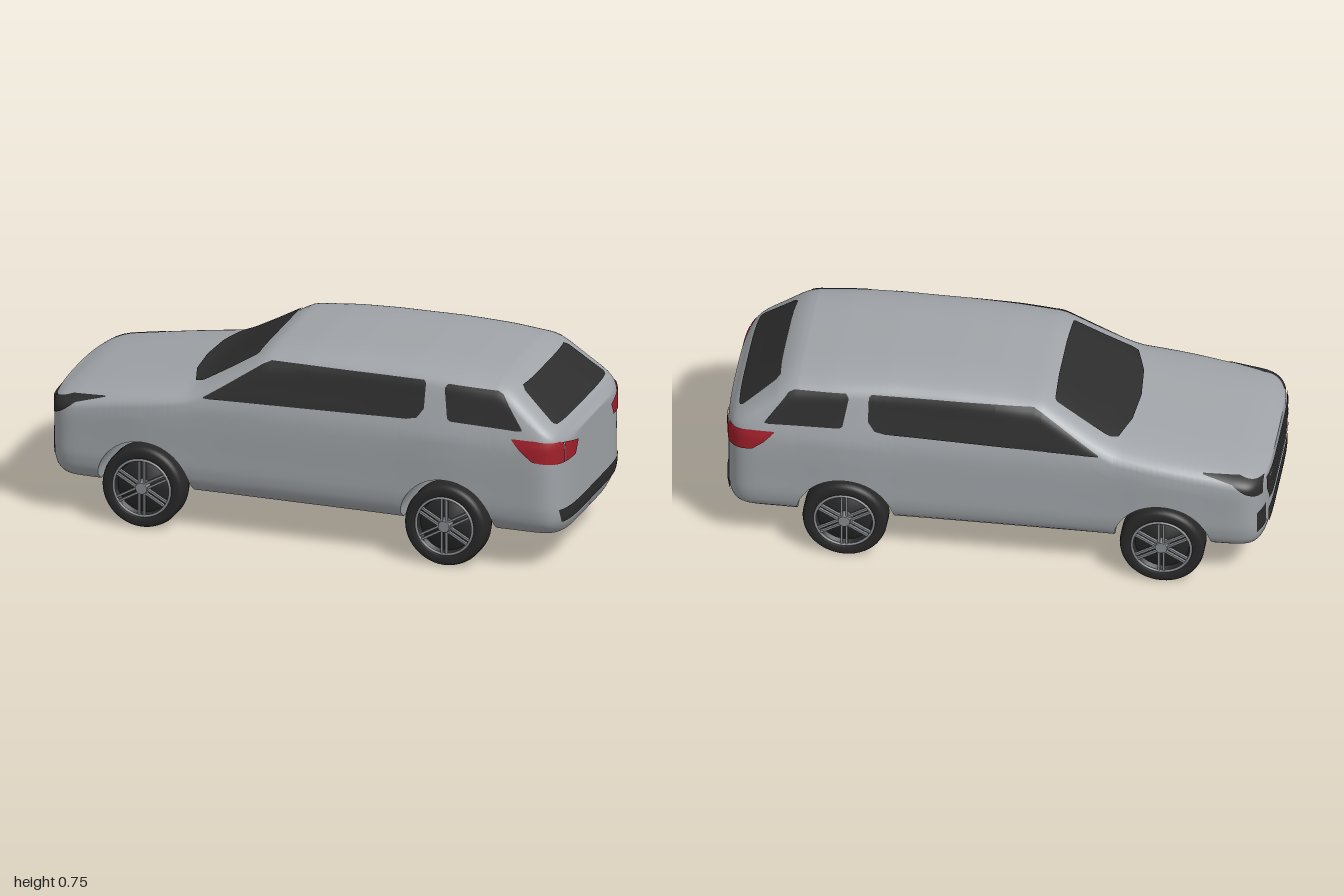
import * as THREE from 'three';

const mat = (name, color, side = THREE.FrontSide) => {
  const m = new THREE.MeshStandardMaterial({ color, side });
  m.name = name;
  return m;
};

// piecewise linear lookup, and a softened version of it
function lerpTable(t, x) {
  if (x <= t[0][0]) return t[0][1];
  for (let i = 1; i < t.length; i++) {
    const [x0, y0] = t[i - 1], [x1, y1] = t[i];
    if (x <= x1) return y0 + (y1 - y0) * (x - x0) / (x1 - x0);
  }
  return t[t.length - 1][1];
}
const soft = (t, x, r) => [-1, -0.5, 0, 0.5, 1].reduce((s, k) => s + lerpTable(t, x + k * r), 0) / 5;

// centre-line height along the car, and relative width by height
const ROOF = [[-1, 0.45], [-0.95, 0.475], [-0.9, 0.49], [-0.8, 0.508], [-0.6, 0.54], [-0.45, 0.565], [-0.4, 0.585],
  [-0.3, 0.643], [-0.17, 0.72], [-0.1, 0.727], [0, 0.738], [0.15, 0.745], [0.4, 0.747], [0.6, 0.738], [0.75, 0.724],
  [0.79, 0.705], [0.9, 0.615], [0.95, 0.575], [0.98, 0.55], [1, 0.51]];
const FLANK = [[0.13, 0.74], [0.15, 0.82], [0.165, 0.885], [0.18, 0.925], [0.2, 0.957], [0.25, 0.985], [0.32, 0.99],
  [0.42, 1], [0.5, 1], [0.55, 0.968], [0.6, 0.93], [0.65, 0.893], [0.7, 0.862], [0.75, 0.84]];
const FLOOR = 0.148, ARCH_R = 0.18, AXLE_Y = 0.157, AXLES = [-0.62, 0.55];

const endU = x => Math.min(1, Math.max(0, (Math.abs(x) - 0.8) / 0.2));
const roofY = x => soft(ROOF, x, 0.018);
const capHeight = x => 0.1 - 0.045 * endU(x) ** 2;
const planWidth = x => {
  const flare = AXLES.reduce((s, c) => s + Math.exp(-(((x - c) / 0.16) ** 2)), 0);
  return (0.372 + 0.007 * flare) * (1 - endU(x) ** 5) ** 0.2;
};
function halfWidth(x, y) {
  const top = roofY(x), cap = capHeight(x);
  const q = Math.min(1, Math.max(0, (y - top + cap) / cap));
  return planWidth(x) * soft(FLANK, y, 0.01) * (1 - q ** 4) ** 0.25;
}
// underside with wheel arches cut right across
function floorY(x) {
  for (const c of AXLES) {
    const d = Math.abs(x - c);
    if (d <= ARCH_R + 1e-6) return AXLE_Y + Math.sqrt(Math.max(0, ARCH_R ** 2 - d * d));
  }
  return FLOOR;
}
// tuck the lower bumpers inwards
function tuck([x, y, z]) {
  const low = Math.max(0, (0.24 - y) / 0.09);
  return [x - Math.sign(x) * 0.025 * endU(x) ** 2 * low * low, y, z];
}

// smooth surface over a grid of points
function gridGeometry(ni, nj, f) {
  const pos = [], idx = [];
  for (let i = 0; i < ni; i++) for (let j = 0; j < nj; j++) {
    pos.push(...tuck(f(i, j)));
    if (i < ni - 1 && j < nj - 1) {
      const a = i * nj + j, b = a + nj;
      idx.push(a, b, a + 1, b, b + 1, a + 1);
    }
  }
  const g = new THREE.BufferGeometry();
  g.setAttribute('position', new THREE.Float32BufferAttribute(pos, 3));
  g.setIndex(idx);
  g.computeVertexNormals();
  return g;
}

// find the body surface between an inside and an outside value
function surface(inside, a, b) {
  for (let k = 0; k < 30; k++) {
    const m = (a + b) / 2;
    if (inside(m)) a = m; else b = m;
  }
  return a;
}
const PROJECT = {
  left: (x, y, e) => [x, y, halfWidth(x, y) + e],
  right: (x, y, e) => [x, y, -halfWidth(x, y) - e],
  top: (z, x, e) => [x, surface(y => Math.abs(z) < halfWidth(x, y), 0.4, 0.8) + e, z],
  rear: (z, y, e) => [surface(x => Math.abs(z) < halfWidth(x, y), 0.5, 1) + e, y, z],
  front: (z, y, e) => [surface(x => Math.abs(z) < halfWidth(x, y), -0.5, -1) - e, y, z],
};

export function createModel() {
  const car = new THREE.Group();
  car.name = 'car';
  const paint = mat('silver paint', 0xa0a4a8);
  const glass = mat('dark glass', 0x2d2d2d, THREE.DoubleSide);
  const red = mat('tail light red', 0xa01f2a, THREE.DoubleSide);
  const rubber = mat('tyre rubber', 0x272727, THREE.DoubleSide);
  const alloy = mat('alloy grey', 0x85888c, THREE.DoubleSide);

  const add = (parent, name, geo, material) => {
    const m = new THREE.Mesh(geo, material);
    m.name = name;
    parent.add(m);
    return m;
  };

  // body stations: even spacing, dense round the arches and ends
  let xs = [];
  for (let i = -32; i <= 32; i++) xs.push(i / 40);
  for (let i = 1; i <= 24; i++) {
    const x = 0.8 + 0.2 * Math.sin(i / 24 * Math.PI / 2) ** 0.4;
    xs.push(x, -x);
  }
  for (let i = 1; i < 8; i++) xs.push(0.8 + i * 0.012, -0.8 - i * 0.012);
  for (const c of AXLES) {
    for (let i = 0; i <= 28; i++) xs.push(c + ARCH_R * Math.cos(i / 28 * Math.PI));
    xs.push(c - ARCH_R - 2e-4, c + ARCH_R + 2e-4);
  }
  xs = xs.sort((a, b) => a - b).filter((x, i) => i === 0 || x - xs[i - 1] > 1e-6);

  // half section runs from sill to centre line, then is mirrored
  const SIDE = 18, CAP = 12, HALF = SIDE + CAP;
  const skinPoint = (i, j) => {
    const x = xs[i], k = Math.min(j, 2 * HALF - j), s = j <= HALF ? 1 : -1;
    const top = roofY(x), y0 = top - capHeight(x), yb = floorY(x);
    if (k <= SIDE) {
      const y = yb + (y0 - yb) * (k / SIDE) ** 1.5;
      return [x, y, s * halfWidth(x, y)];
    }
    const q = (k - SIDE) / CAP * Math.PI / 2;
    const y = y0 + capHeight(x) * Math.sqrt(Math.sin(q));
    const w = planWidth(x) * soft(FLANK, y, 0.01) * Math.sqrt(Math.max(0, Math.cos(q)));
    return [x, y, k === HALF ? 0 : s * w];
  };
  add(car, 'bodyShell', gridGeometry(xs.length, 2 * HALF + 1, skinPoint), paint);
  add(car, 'underside', gridGeometry(xs.length, 2, (i, j) => {
    const y = floorY(xs[i]);
    return [xs[i], y, (j ? 1 : -1) * halfWidth(xs[i], y)];
  }), paint);

  // thin panel lying on the body, between a lower and an upper outline
  function panel(name, where, lo, hi, material, e = 0.005) {
    const a0 = lo[0][0], a1 = lo[lo.length - 1][0];
    const as = [...lo, ...hi].map(p => p[0]);
    for (let i = 0; i <= 40; i++) as.push(a0 + (a1 - a0) * i / 40);
    as.sort((p, q) => p - q);
    const st = as.filter((a, i) => i === 0 || a - as[i - 1] > 1e-6);
    add(car, name, gridGeometry(st.length, 13, (i, j) => {
      const l = lerpTable(lo, st[i]), h = lerpTable(hi, st[i]);
      return PROJECT[where](st[i], l + (h - l) * j / 12, e);
    }), material);
  }
  const mirrored = half => [...half.map(([z, v]) => [-z, v]), ...half.slice().reverse()];
  const flip = t => t.map(([z, v]) => [-z, v]).reverse();

  for (const side of ['left', 'right']) {
    panel(side + 'DoorWindow', side,
      [[-0.385, 0.535], [0.2, 0.55], [0.4, 0.556], [0.44, 0.565], [0.465, 0.6]],
      [[-0.385, 0.54], [-0.31, 0.588], [-0.17, 0.681], [-0.14, 0.694], [0, 0.698], [0.455, 0.7], [0.465, 0.69]], glass);
    panel(side + 'QuarterWindow', side,
      [[0.54, 0.675], [0.558, 0.575], [0.57, 0.567], [0.83, 0.559], [0.845, 0.562]],
      [[0.54, 0.685], [0.55, 0.697], [0.74, 0.69], [0.762, 0.68], [0.845, 0.567]], glass);
    panel(side + 'HeadLight', side,
      [[-0.985, 0.39], [-0.93, 0.42], [-0.88, 0.457], [-0.77, 0.486]],
      [[-0.985, 0.447], [-0.9, 0.475], [-0.77, 0.489]], glass);
    panel(side + 'TailLightSide', side,
      [[0.81, 0.525], [0.85, 0.482], [0.89, 0.45], [0.978, 0.437]],
      [[0.81, 0.53], [0.9, 0.53], [0.978, 0.52]], red);
    panel(side + 'FogLight', side, [[-0.992, 0.235], [-0.968, 0.23]], [[-0.992, 0.325], [-0.968, 0.32]], glass);
    const m = side === 'left' ? t => t : flip;
    panel(side + 'TailLightCorner', 'rear', m([[0.297, 0.437], [0.345, 0.439]]), m([[0.297, 0.515], [0.345, 0.522]]), red);
    panel(side + 'TailLightInner', 'rear',
      m([[0.185, 0.484], [0.21, 0.44], [0.293, 0.437]]), m([[0.185, 0.49], [0.293, 0.515]]), red);
  }

  panel('windscreen', 'top', mirrored([[0.28, -0.42], [0.268, -0.447], [0.15, -0.483], [0, -0.495]]).filter((p, i) => i !== 4),
    mirrored([[0.28, -0.405], [0.25, -0.218], [0.24, -0.21], [0.1, -0.205]]), glass);
  panel('rearWindow', 'rear', mirrored([[0.28, 0.576], [0.27, 0.57]]),
    mirrored([[0.28, 0.583], [0.245, 0.677], [0.225, 0.691]]), glass);
  panel('rearBumperTrim', 'rear', mirrored([[0.322, 0.25], [0.303, 0.204], [0.29, 0.2]]), mirrored([[0.322, 0.255]]), glass);

  // front grille with bars, and the lower intake
  panel('grille', 'front', mirrored([[0.27, 0.385], [0.235, 0.32]]), mirrored([[0.27, 0.437]]), glass);
  [0.325, 0.372, 0.42].forEach((y, i) => {
    const w = 0.225 + i * 0.012;
    panel('grilleBar', 'front', [[-w, y], [w, y]], [[-w, y + 0.014], [w, y + 0.014]], alloy, 0.009);
  });
  panel('lowerIntake', 'front', mirrored([[0.25, 0.235], [0.235, 0.215]]), mirrored([[0.25, 0.285]]), glass);

  // wheels: outer face towards +z, centred on the tyre
  const lathe = pts => new THREE.LatheGeometry(pts.map(p => new THREE.Vector2(...p)), 48).rotateX(Math.PI / 2);
  function makeWheel() {
    const w = new THREE.Group();
    add(w, 'tyre', lathe([[0.112, -0.045], [0.118, -0.053], [0.142, -0.053], [0.152, -0.046], [0.156, -0.03],
      [0.156, 0.03], [0.152, 0.046], [0.142, 0.053], [0.118, 0.053], [0.112, 0.045]]), rubber);
    add(w, 'wheelBarrel', lathe([[0.112, -0.045], [0.105, -0.03], [0.1, 0.025], [0, 0.028]]), rubber);
    add(w, 'wheelWell', lathe([[0.1, 0.025], [0.112, 0.045]]), rubber);
    add(w, 'rimRing', new THREE.TorusGeometry(0.109, 0.005, 8, 48).translate(0, 0, 0.048), alloy);
    add(w, 'hub', new THREE.CylinderGeometry(0.022, 0.03, 0.026, 24).rotateX(Math.PI / 2).translate(0, 0, 0.043), alloy);
    for (let i = 0; i < 6; i++) for (const s of [-1, 1]) {
      const spoke = add(w, 'spoke', new THREE.BoxGeometry(0.09, 0.008, 0.012).translate(0.064, s * 0.009, 0.045), alloy);
      spoke.rotation.z = i * Math.PI / 3 + Math.PI / 6;
    }
    return w;
  }
  for (const [x, end] of [[AXLES[0], 'front'], [AXLES[1], 'rear']]) for (const s of [-1, 1]) {
    const w = makeWheel();
    w.name = end + (s > 0 ? 'Left' : 'Right') + 'Wheel';
    w.position.set(x, 0.156, s * 0.325);
    if (s < 0) w.rotation.y = Math.PI;
    car.add(w);
  }
  return car;
}
